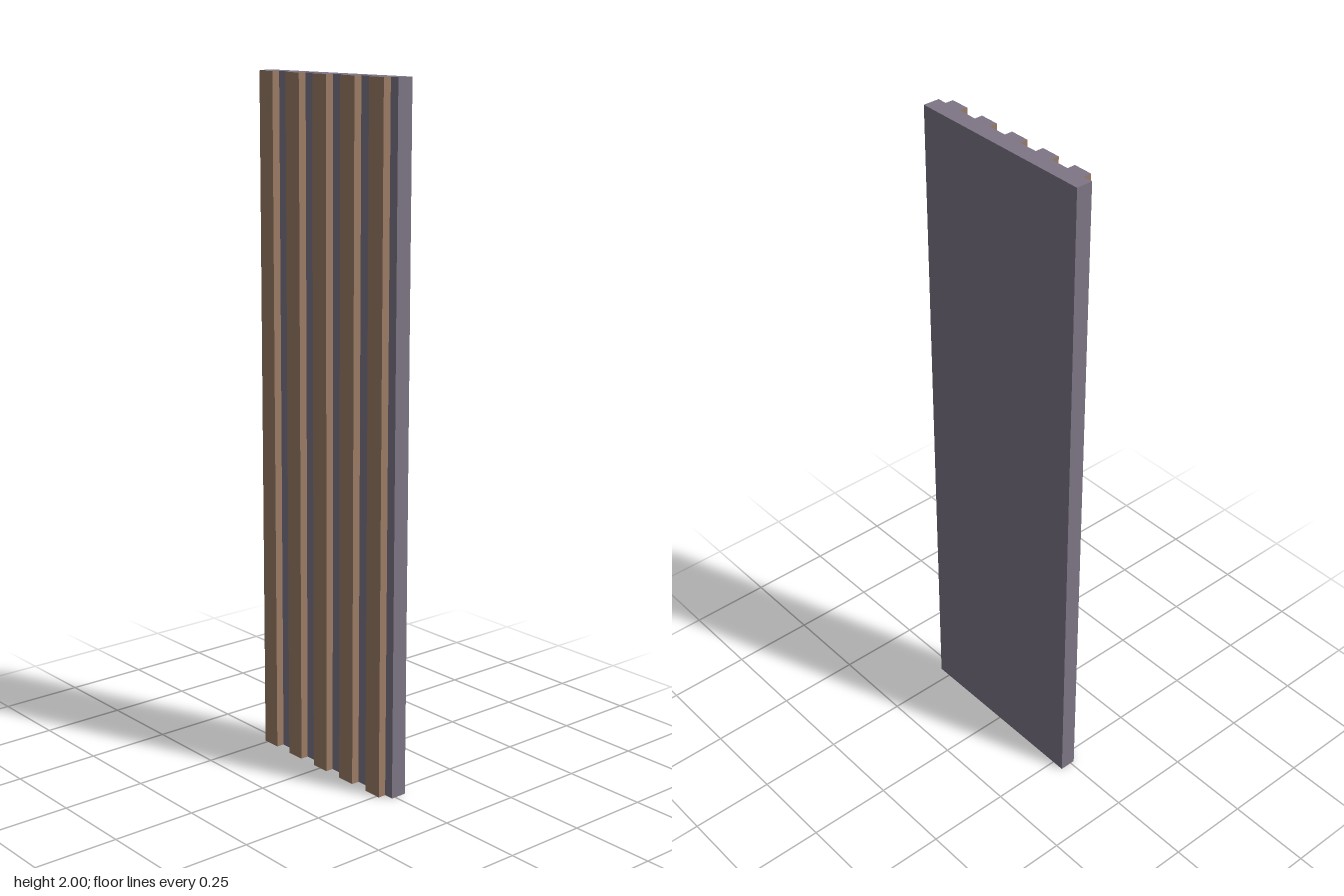
import * as THREE from 'three';

export function createModel() {
  const group = new THREE.Group();
  const core = new THREE.MeshStandardMaterial({ name: 'greyCore', color: 0x7e7686 });
  const wood = new THREE.MeshStandardMaterial({ name: 'brownWood', color: 0x9c7d66 });

  const height = 2;
  const backX = 0.0365, grooveX = -0.0125, slatX = -0.0365;
  const pitch = 0.1155, slatWidth = 0.0577, count = 5;

  // Flat backing board
  const board = new THREE.Mesh(
    new THREE.BoxGeometry(backX - grooveX, height, pitch * count), core);
  board.name = 'backingBoard';
  board.position.set((backX + grooveX) / 2, height / 2, 0);
  group.add(board);

  // Vertical slats: brown faces with grey cut ends (+x, -x, +y, -y, +z, -z)
  const slatGeometry = new THREE.BoxGeometry(grooveX - slatX, height, slatWidth);
  const slatMaterials = [core, wood, core, core, wood, wood];
  for (let i = 0; i < count; i++) {
    const slat = new THREE.Mesh(slatGeometry, slatMaterials);
    slat.name = `slat${i + 1}`;
    slat.position.set((grooveX + slatX) / 2, height / 2, (i - (count - 1) / 2) * pitch);
    group.add(slat);
  }
  return group;
}
